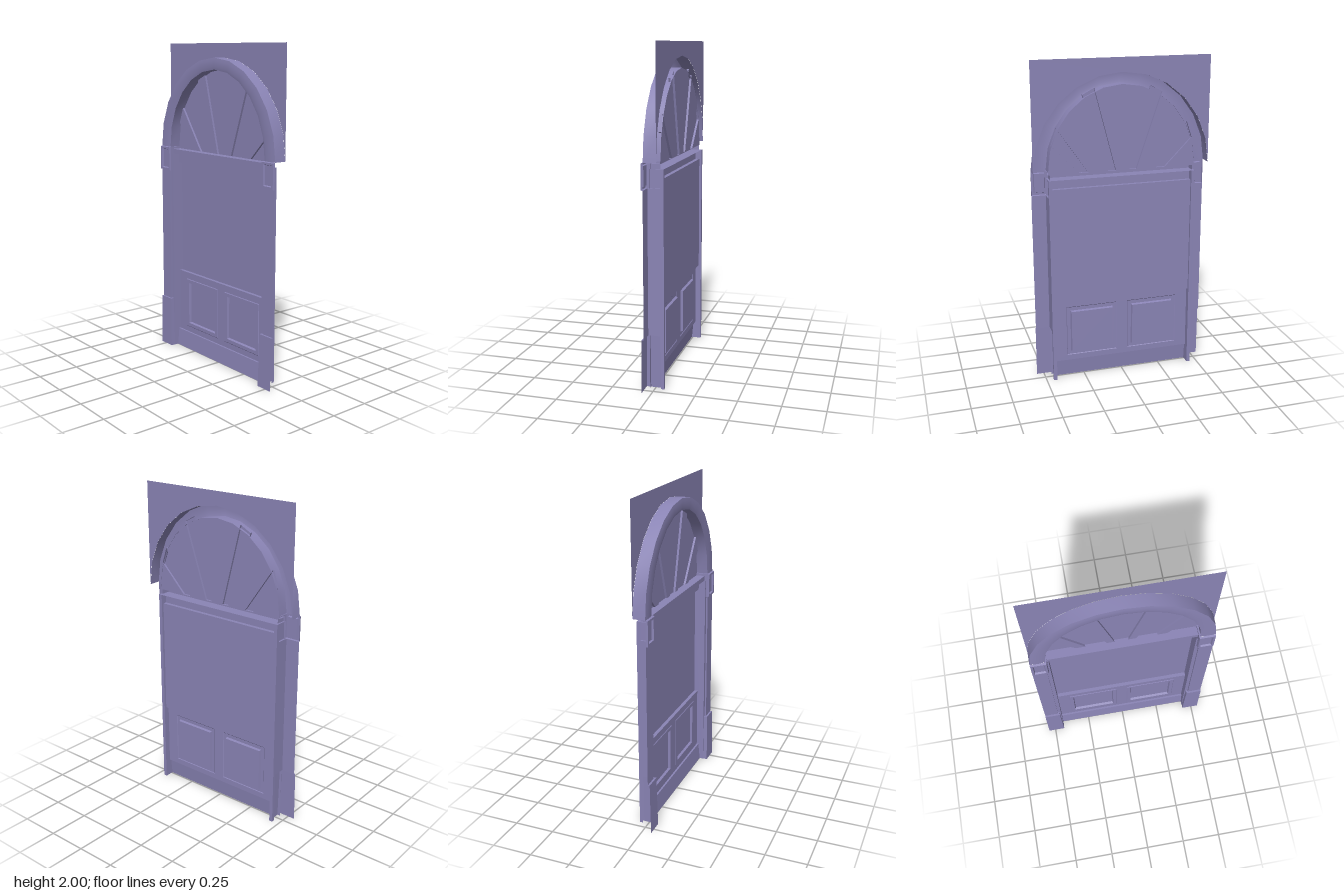
import * as THREE from 'three';
import { toCreasedNormals } from 'three/addons/utils/BufferGeometryUtils.js';

const material = new THREE.MeshStandardMaterial({ color: 0x8a84b5, side: THREE.DoubleSide });

function addMesh(parent, name, geometry) {
  const mesh = new THREE.Mesh(geometry, material);
  mesh.name = name;
  parent.add(mesh);
}

// Skin a grid of points: each row is one cross-section
function skin(rows) {
  const n = rows[0].length, index = [];
  for (let r = 0; r < rows.length - 1; r++) {
    for (let c = 0; c < n - 1; c++) {
      const a = r * n + c, b = a + 1, d = a + n, e = d + 1;
      index.push(a, b, e, a, e, d);
    }
  }
  const g = new THREE.BufferGeometry();
  g.setAttribute('position', new THREE.Float32BufferAttribute(rows.flat(2), 3));
  g.setIndex(index);
  return toCreasedNormals(g, 0.6);
}

// Upright sheet following an (x, z) line
const upright = (line, y0, y1) =>
  skin([y0, y1].map(y => line.map(([x, z]) => [x, y, z])));

// Horizontal moulding following a (y, z) line
const moulding = (line, w) =>
  skin(line.map(([y, z]) => [[w, y, z], [-w, y, z]]));

// Concentric rectangles [inset, z], closed by a flat centre
function steppedPanel(x0, x1, y0, y1, steps) {
  const rows = steps.map(([d, z]) => [
    [x0 + d, y0 + d, z], [x1 - d, y0 + d, z], [x1 - d, y1 - d, z], [x0 + d, y1 - d, z], [x0 + d, y0 + d, z],
  ]);
  const z = steps[steps.length - 1][1];
  rows.push(rows[0].map(() => [(x0 + x1) / 2, (y0 + y1) / 2, z]));
  return skin(rows);
}

// Points on the arch; t = 0 is the inner edge, t = 1 the outer edge
const archPoint = (i, t) => {
  const a = (i / 12) * Math.PI;
  return [(0.455 + 0.09 * t) * Math.cos(a), 1.345 + (0.5 + 0.07 * t) * Math.sin(a)];
};
const stations = Array.from({ length: 13 }, (_, i) => i);

const toVectors = points => points.map(p => new THREE.Vector2(...p));
function flatShape(points, z, holes = []) {
  const shape = new THREE.Shape(toVectors(points));
  holes.forEach(h => shape.holes.push(new THREE.Path(toVectors(h))));
  return new THREE.ShapeGeometry(shape).translate(0, 0, z);
}
const rect = (x0, x1, y0, y1) => [[x0, y0], [x1, y0], [x1, y1], [x0, y1]];

function createSide() {
  const side = new THREE.Group();
  // Pillar face and inner side, open at the outside and back
  addMesh(side, 'pillar', upright([[0.545, 0.04], [0.457, 0.04], [0.457, -0.035]], 0.325, 1.19));
  // Door post: front, reveal, back and short outer edge
  addMesh(side, 'doorPost', upright(
    [[0.457, 0.03], [0.435, 0.03], [0.435, -0.055], [0.457, -0.055], [0.457, -0.035]], 0, 1.3));
  // Plinth, slightly thicker at the foot
  addMesh(side, 'plinth', skin([
    [[0.545, 0, 0.057], [0.437, 0, 0.057], [0.437, 0, -0.035]],
    [[0.545, 0.325, 0.052], [0.445, 0.325, 0.052], [0.445, 0.325, -0.035]],
    [[0.545, 0.325, 0.04], [0.457, 0.325, 0.04], [0.457, 0.325, -0.035]],
  ]));
  // Impost block with a sunken square face, its inner side and top
  addMesh(side, 'impost', steppedPanel(0.445, 0.545, 1.19, 1.345,
    [[0, 0.04], [0.003, 0.052], [0.016, 0.052], [0.02, 0.041]]));
  addMesh(side, 'impostReturn', skin([[0.457, 1.19], [0.445, 1.19], [0.445, 1.345], [0.46, 1.345]]
    .map(([x, y]) => [[x, y, 0.04], [x, y, -0.035]])));
  return side;
}

export function createModel() {
  const model = new THREE.Group();
  model.name = 'archedDoorway';

  // Pillars, plinths and imposts on both sides
  const left = createSide();
  left.name = 'leftSide';
  const right = createSide();
  right.name = 'rightSide';
  right.scale.x = -1;
  model.add(left, right);

  // Arch: soffit, gently rounded front and outer face, open behind
  const archProfile = [[0, -0.037], [0, 0.036], [0.25, 0.04], [0.75, 0.04], [1, 0.038], [1, -0.037]];
  addMesh(model, 'arch', skin(stations.map(i => archProfile.map(([t, z]) => [...archPoint(i, t), z]))));

  // Wall sheet around the arch
  addMesh(model, 'spandrel', flatShape(
    [[-0.545, 2], ...stations.map(i => archPoint(12 - i, 1)), [0.545, 2]], -0.038));

  // Fanlight panel with raised tapered bars that are hollow behind
  const halfBars = [
    [[0.042, 1.332], [0.087, 1.332], [0.235, 1.766], [0.164, 1.802]],
    [[0.212, 1.332], [0.267, 1.332], [0.427, 1.495], [0.392, 1.59]],
  ];
  const bars = [1, -1].flatMap(s => halfBars.map(bar => bar.map(([x, y]) => [s * x, y])));
  addMesh(model, 'fanlight', flatShape(
    [[-0.455, 1.33], [0.455, 1.33], ...stations.map(i => archPoint(i, 0))], -0.035, bars));
  for (const [a, b, c, d] of bars) {
    // Outer ends run on into the arch
    const extend = (p, q) => q.map((v, k) => v + 0.06 * (v - p[k]));
    const bar = [a, b, extend(b, c), extend(a, d)];
    addMesh(model, 'fanlightBarSides', skin([-0.035, -0.022].map(z => [...bar, a].map(([x, y]) => [x, y, z]))));
    addMesh(model, 'fanlightBar', flatShape(bar, -0.022));
  }

  // Transom ledge and header, open behind
  addMesh(model, 'transom', moulding(
    [[1.33, -0.035], [1.33, 0.02], [1.3, 0.02], [1.3, -0.055]], 0.456));
  addMesh(model, 'header', moulding([[1.3, -0.015], [1.24, -0.015], [1.24, -0.04]], 0.435));

  // Upper panel and sloped skirting
  addMesh(model, 'upperPanel', moulding([[1.24, -0.04], [0.515, -0.04], [0.515, -0.018]], 0.435));
  addMesh(model, 'skirting', moulding([[0.11, -0.018], [0.11, -0.006], [0, 0.005]], 0.435));

  // Lower panel with two sunken, framed fields
  const fields = [[-0.36, -0.035], [0.035, 0.36]];
  addMesh(model, 'lowerPanel', flatShape(rect(-0.435, 0.435, 0.11, 0.515), -0.018,
    fields.map(([a, b]) => rect(a, b, 0.145, 0.472))));
  for (const [a, b] of fields) {
    addMesh(model, 'panelField', steppedPanel(a, b, 0.145, 0.472,
      [[0, -0.018], [0.004, -0.015], [0.026, -0.015], [0.031, -0.03]]));
  }
  return model;
}
